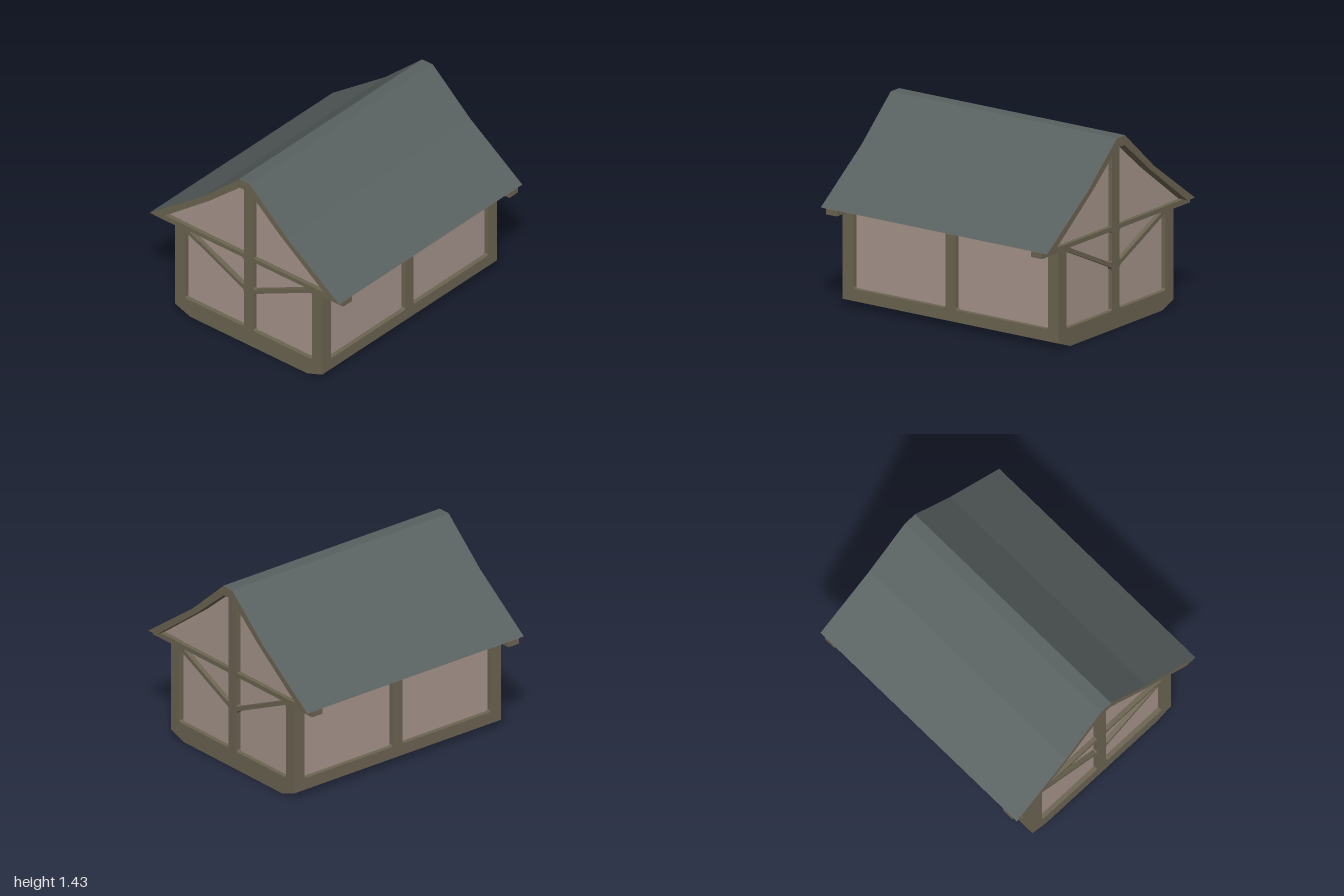
import * as THREE from 'three';

const timber = new THREE.MeshStandardMaterial({ color: 0x6c6452 });
timber.name = 'timber';
const plaster = new THREE.MeshStandardMaterial({ color: 0xa6948b });
plaster.name = 'plaster';
const slate = new THREE.MeshStandardMaterial({ color: 0x586060 });
slate.name = 'slate';

// Half profiles as [z, y], from eave to ridge
const roofLine = [[0.89, 0.768], [0.4, 1.12], [0.05, 1.43]];
const innerLine = [[0.8, 0.768], [0.33, 1.12], [0.045, 1.36]];
const mirrored = (pts) => [...pts, ...pts.map(([z, y]) => [-z, y]).reverse()];
const flip = (pts) => pts.map(([z, y]) => [-z, y]);

function shapeOf(points, holes = []) {
  const toV = (p) => p.map(([a, b]) => new THREE.Vector2(a, b));
  const shape = new THREE.Shape(toV(points));
  for (const h of holes) shape.holes.push(new THREE.Path(toV(h)));
  return shape;
}

function addMesh(parent, name, geometry, material) {
  const mesh = new THREE.Mesh(geometry, material);
  mesh.name = name;
  parent.add(mesh);
  return mesh;
}

function box(parent, name, material, [x0, x1], [y0, y1], [z0, z1]) {
  const g = new THREE.BoxGeometry(x1 - x0, y1 - y0, z1 - z0);
  g.translate((x0 + x1) / 2, (y0 + y1) / 2, (z0 + z1) / 2);
  return addMesh(parent, name, g, material);
}

// Extrude a [z, y] outline along x, from x0 to x1
function alongX(parent, name, material, points, x0, x1, holes) {
  const g = new THREE.ExtrudeGeometry(shapeOf(points, holes), { depth: x1 - x0, bevelEnabled: false });
  g.rotateY(Math.PI / 2).translate(x0, 0, 0);
  return addMesh(parent, name, g, material);
}

// Cut the corners of an opening slightly
function cutCorners(points, c = 0.013) {
  const out = [];
  points.forEach((p, i) => {
    const n = points.length;
    for (const q of [points[(i + n - 1) % n], points[(i + 1) % n]]) {
      const d = Math.hypot(q[0] - p[0], q[1] - p[1]);
      out.push([p[0] + (q[0] - p[0]) * c / d, p[1] + (q[1] - p[1]) * c / d]);
    }
  });
  return out;
}

// Long wall facing +z: framed openings and a recessed top plate
function longWall() {
  const wall = new THREE.Group();
  wall.name = 'longWall';
  const opening = cutCorners([[0.045, 0.14], [0.86, 0.14], [0.86, 0.76], [0.045, 0.76]]);
  const g = new THREE.ExtrudeGeometry(
    shapeOf([[-0.955, 0.05], [0.955, 0.05], [0.955, 0.768], [-0.955, 0.768]], [opening, flip(opening)]),
    { depth: 0.035, bevelEnabled: false });
  g.translate(0, 0, 0.655);
  addMesh(wall, 'wallFrame', g, timber);
  box(wall, 'topPlate', timber, [-0.9, 0.9], [0.725, 0.767], [0.64, 0.672]);
  return wall;
}

// End wall facing +x: posts, braces, tie beam and gable
function endWall() {
  const wall = new THREE.Group();
  wall.name = 'endWall';
  const lower = cutCorners([[0.045, 0.14], [0.595, 0.14], [0.595, 0.715], [0.045, 0.46]]);
  const upper = cutCorners([[0.045, 0.495], [0.56, 0.733], [0.045, 0.733]]);
  alongX(wall, 'endFrame', timber,
    [[-0.69, 0.05], [0.69, 0.05], [0.69, 0.766], [-0.69, 0.766]], 0.92, 0.955,
    [lower, upper, flip(lower), flip(upper)]);
  box(wall, 'tieBeam', timber, [0.86, 0.955], [0.725, 0.767], [0.6, 0.89]);
  box(wall, 'tieBeam', timber, [0.86, 0.955], [0.725, 0.767], [-0.89, -0.6]);
  alongX(wall, 'gablePanel', plaster, mirrored(innerLine), 0.914, 0.92);
  box(wall, 'kingPost', timber, [0.9, 0.955], [0.75, 1.365], [-0.045, 0.045]);
  // Rafters around the gable
  const rafters = [...mirrored(roofLine), ...mirrored(innerLine).reverse()];
  alongX(wall, 'rafters', timber, rafters, 0.914, 1);
  return wall;
}

// Roof covering as a folded sheet over the outer profile
function roofCovering() {
  const line = mirrored(roofLine);
  const pos = [];
  for (let i = 0; i < line.length - 1; i++) {
    const [za, ya] = line[i], [zb, yb] = line[i + 1], e = 0.002;
    const a = [-1, ya + e, za], b = [1, ya + e, za], c = [1, yb + e, zb], d = [-1, yb + e, zb];
    pos.push(...a, ...b, ...c, ...a, ...c, ...d);
  }
  const g = new THREE.BufferGeometry();
  g.setAttribute('position', new THREE.Float32BufferAttribute(pos, 3));
  g.computeVertexNormals();
  return g;
}

export function createModel() {
  const house = new THREE.Group();
  house.name = 'timberHouse';

  // Floor and ground beams with sloped ends
  box(house, 'floor', timber, [-0.95, 0.95], [0.05, 0.12], [-0.685, 0.685]);
  for (const x of [-0.9075, 0, 0.9075]) {
    const half = x ? 0.0475 : 0.045;
    alongX(house, 'crossBeam', timber, mirrored([[0.55, 0], [0.69, 0.05]]), x - half, x + half);
  }
  box(house, 'lengthBeam', timber, [-0.95, 0.95], [0, 0.05], [-0.045, 0.045]);

  // Walls
  box(house, 'wallPanels', plaster, [-0.92, 0.92], [0.1, 0.767], [-0.655, 0.655]);
  for (const turn of [0, Math.PI]) {
    const long = longWall(), end = endWall();
    long.rotation.y = end.rotation.y = turn;
    house.add(long, end);
  }

  // Roof
  alongX(house, 'roofBody', timber, mirrored(roofLine), -0.914, 0.914);
  addMesh(house, 'roofCovering', roofCovering(), slate);
  return house;
}
